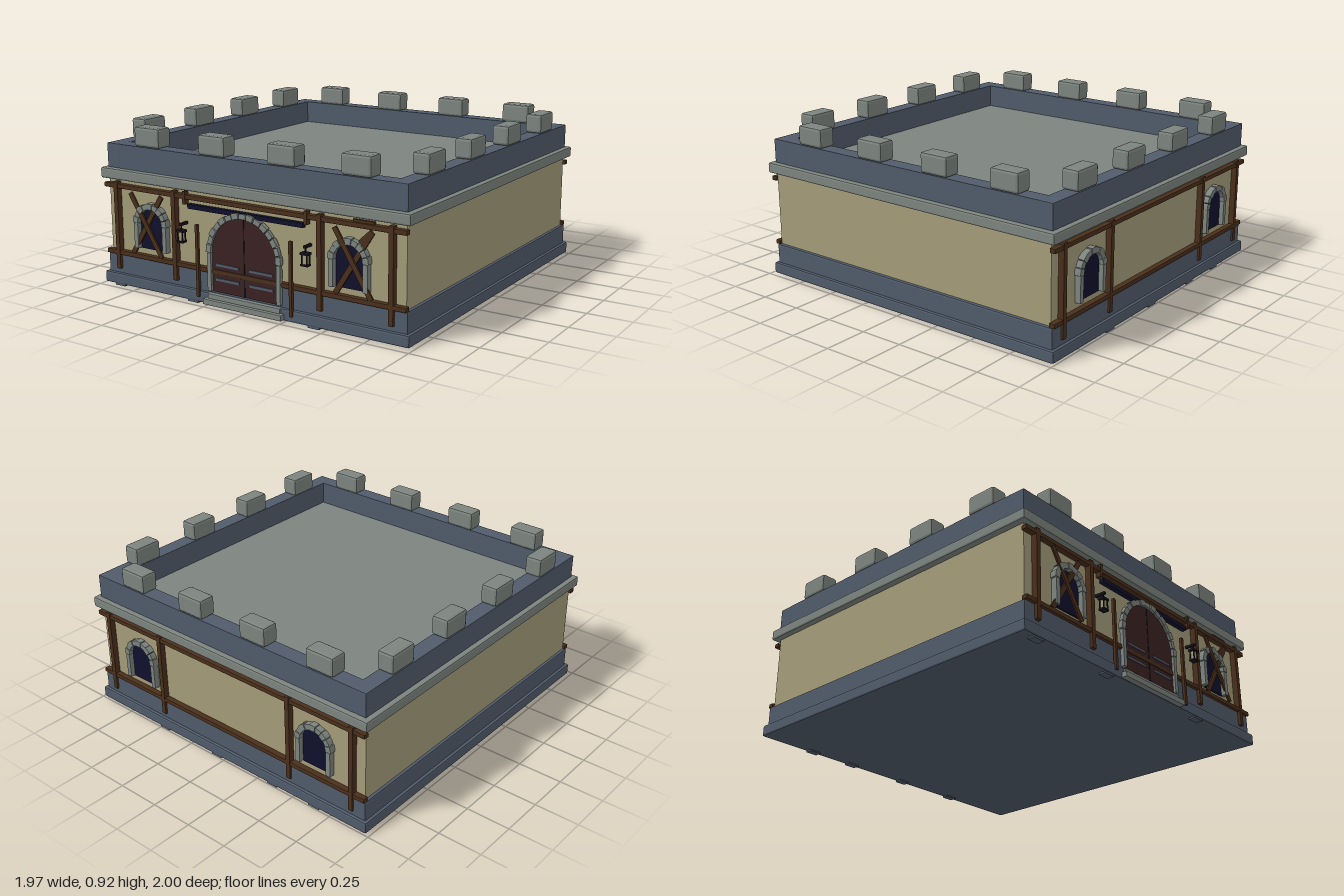
import * as THREE from 'three';
import { RoundedBoxGeometry } from 'three/addons/geometries/RoundedBoxGeometry.js';

const mat = (name, color) => {
  const m = new THREE.MeshStandardMaterial({ color });
  m.name = name;
  return m;
};

export function createModel() {
  const stone = mat('grey stone', 0x7d847f);
  const slate = mat('blue slate', 0x505b6a);
  const plaster = mat('cream plaster', 0xa49c79);
  const timber = mat('brown timber', 0x4a2f1b);
  const doorWood = mat('dark red wood', 0x3a2222);
  const glass = mat('night glass', 0x10102c);
  const iron = mat('black iron', 0x15151c);

  const model = new THREE.Group();
  model.name = 'fortifiedHouse';
  const CZ = -0.015; // centre of the building in z

  const add = (parent, name, geo, material, x = 0, y = 0, z = 0, rz = 0) => {
    const mesh = new THREE.Mesh(geo, material);
    mesh.name = name;
    mesh.position.set(x, y, z);
    mesh.rotation.z = rz;
    parent.add(mesh);
    return mesh;
  };
  const box = (parent, name, material, w, h, d, x, y, z, rz = 0) =>
    add(parent, name, new THREE.BoxGeometry(w, h, d), material, x, y, z, rz);
  // Box with flat chamfered edges
  const chamfer = (parent, name, material, w, h, d, x, y, z, r = 0.01) => {
    const geo = new RoundedBoxGeometry(w, h, d, 1, r);
    geo.computeVertexNormals();
    return add(parent, name, geo, material, x, y, z);
  };

  // Main body, stacked from the ground up
  chamfer(model, 'plinth', slate, 1.97, 0.065, 1.97, 0, 0.041, CZ);
  chamfer(model, 'foundation', slate, 1.935, 0.13, 1.935, 0, 0.12, CZ);
  box(model, 'walls', plaster, 1.90, 0.44, 1.895, 0, 0.395, -0.0125);
  chamfer(model, 'roofSlab', stone, 1.97, 0.06, 1.97, 0, 0.64, CZ);
  for (const x of [-0.88, -0.35, 0.43]) box(model, 'footStone', slate, 0.07, 0.014, 0.04, x, 0.007, 0.945);
  for (const x of [0.47, 0.06, -0.35, -0.64]) box(model, 'footStone', slate, 0.07, 0.014, 0.04, x, 0.007, -0.975);

  // Parapet with corner blocks and merlons
  for (const s of [-1, 1]) {
    box(model, 'parapetEnd', slate, 1.74, 0.135, 0.09, 0, 0.7375, CZ + s * 0.909);
    box(model, 'parapetSide', slate, 0.09, 0.135, 1.74, s * 0.909, 0.7375, CZ);
    for (const t of [-1, 1])
      chamfer(model, 'parapetCorner', slate, 0.092, 0.137, 0.092, s * 0.909, 0.7375, CZ + t * 0.909, 0.005);
    for (const p of [-0.665, -0.222, 0.222, 0.665]) {
      chamfer(model, 'merlonEnd', stone, 0.175, 0.11, 0.1, p, 0.86, CZ + s * 0.906, 0.015);
      chamfer(model, 'merlonSide', stone, 0.1, 0.11, 0.175, s * 0.906, 0.86, CZ + p, 0.015);
    }
  }

  // Rounded-top panel, base at y = 0
  const archPanel = (r, spring, depth) => {
    const s = new THREE.Shape();
    s.moveTo(-r, 0);
    s.lineTo(r, 0);
    s.lineTo(r, spring);
    s.absarc(0, spring, r, 0, Math.PI, false);
    s.closePath();
    return new THREE.ExtrudeGeometry(s, { depth, bevelEnabled: false, curveSegments: 16 });
  };
  // Stone surround: two jambs and a ring of arch stones
  const archFrame = (parent, inner, outer, spring, depth, count) => {
    const w = outer - inner;
    for (const s of [-1, 1])
      chamfer(parent, 'jamb', stone, w, spring, depth, s * (inner + w / 2), spring / 2, depth / 2, 0.005);
    for (let i = 0; i < count; i++) {
      const a = (i / count) * Math.PI + 0.012;
      const b = ((i + 1) / count) * Math.PI - 0.012;
      const out = outer + (i % 2 ? 0 : 0.004);
      const s = new THREE.Shape();
      s.absarc(0, 0, out, a, b, false);
      s.absarc(0, 0, inner, b, a, true);
      s.closePath();
      const geo = new THREE.ExtrudeGeometry(s, { depth: depth - (i % 2 ? 0.003 : 0), bevelEnabled: false, curveSegments: 3 });
      add(parent, 'archStone', geo, stone, 0, spring, 0);
    }
  };

  // Timber frame and windows of one facade; local z = 0 is the wall face
  const facade = (name) => {
    const g = new THREE.Group();
    g.name = name;
    for (const y of [0.575, 0.195])
      chamfer(g, 'timberRail', timber, 1.93, 0.026, 0.034, 0, y, 0.015, 0.005);
    for (const s of [-1, 1]) {
      for (const x of [0.88, 0.468])
        chamfer(g, 'timberPost', timber, 0.03, 0.5, 0.036, s * x, 0.35, 0.017, 0.005);
      const win = new THREE.Group();
      win.name = 'window';
      win.position.set(s * 0.638, 0.24, 0);
      add(win, 'windowGlass', archPanel(0.09, 0.145, 0.008), glass);
      archFrame(win, 0.085, 0.115, 0.145, 0.036, 9);
      g.add(win);
    }
    model.add(g);
    return g;
  };
  const front = facade('frontFacade');
  front.position.z = 0.935;
  const back = facade('backFacade');
  back.position.z = -0.96;
  back.rotation.y = Math.PI;

  // Boards nailed across the front windows
  for (const s of [-1, 1]) {
    for (const t of [-1, 1])
      box(front, 'windowBoard', timber, 0.028, 0.4, 0.01, s * 0.665, 0.38, 0.026 + t * 0.004, t * 0.56);
  }
  box(front, 'brokenBoard', timber, 0.09, 0.025, 0.012, 0.735, 0.52, 0.02, 0.75);
  box(front, 'looseBoard', timber, 0.12, 0.014, 0.015, 0.72, 0.594, 0.015);

  // Double door with its surround
  const door = new THREE.Group();
  door.name = 'door';
  door.position.set(0, 0.085, 0.953);
  add(door, 'doorLeaves', archPanel(0.215, 0.212, 0.009), doorWood);
  box(door, 'doorSeam', iron, 0.007, 0.42, 0.004, 0, 0.21, 0.009);
  archFrame(door, 0.21, 0.238, 0.212, 0.024, 15);
  for (const s of [-1, 1])
    for (const y of [0.07, 0.15])
      box(door, 'doorStrap', slate, 0.15, 0.014, 0.005, s * 0.11, y, 0.011);
  model.add(door);

  // Doorstep
  chamfer(model, 'lowerStep', stone, 0.51, 0.032, 0.08, 0, 0.03, 0.96, 0.005);
  chamfer(model, 'upperStep', stone, 0.47, 0.03, 0.06, 0, 0.058, 0.95, 0.005);

  // Banner bar above the door, with brackets, stakes and lanterns beside it
  box(model, 'bannerBar', glass, 0.74, 0.025, 0.025, 0, 0.527, 0.952);
  for (const s of [-1, 1]) {
    box(model, 'bracket', timber, 0.018, 0.07, 0.03, s * 0.39, 0.57, 0.955);
    chamfer(model, 'stake', timber, 0.02, 0.4, 0.018, s * 0.302, 0.24, 0.972, 0.004);

    const lantern = new THREE.Group();
    lantern.name = 'lantern';
    lantern.position.set(s * 0.4, 0, 0.982);
    box(lantern, 'lanternGlow', plaster, 0.026, 0.055, 0.02, 0, 0.362, 0);
    box(lantern, 'lanternBase', iron, 0.042, 0.01, 0.034, 0, 0.334, 0);
    box(lantern, 'lanternCap', iron, 0.048, 0.012, 0.036, 0, 0.393, 0);
    box(lantern, 'lanternHook', iron, 0.006, 0.03, 0.006, 0, 0.41, 0);
    box(lantern, 'lanternArm', iron, 0.014, 0.014, 0.06, 0, 0.428, -0.018);
    for (const x of [-1, 1])
      for (const z of [-1, 1])
        box(lantern, 'lanternBar', iron, 0.006, 0.055, 0.006, x * 0.015, 0.362, z * 0.012);
    model.add(lantern);
  }
  return model;
}
